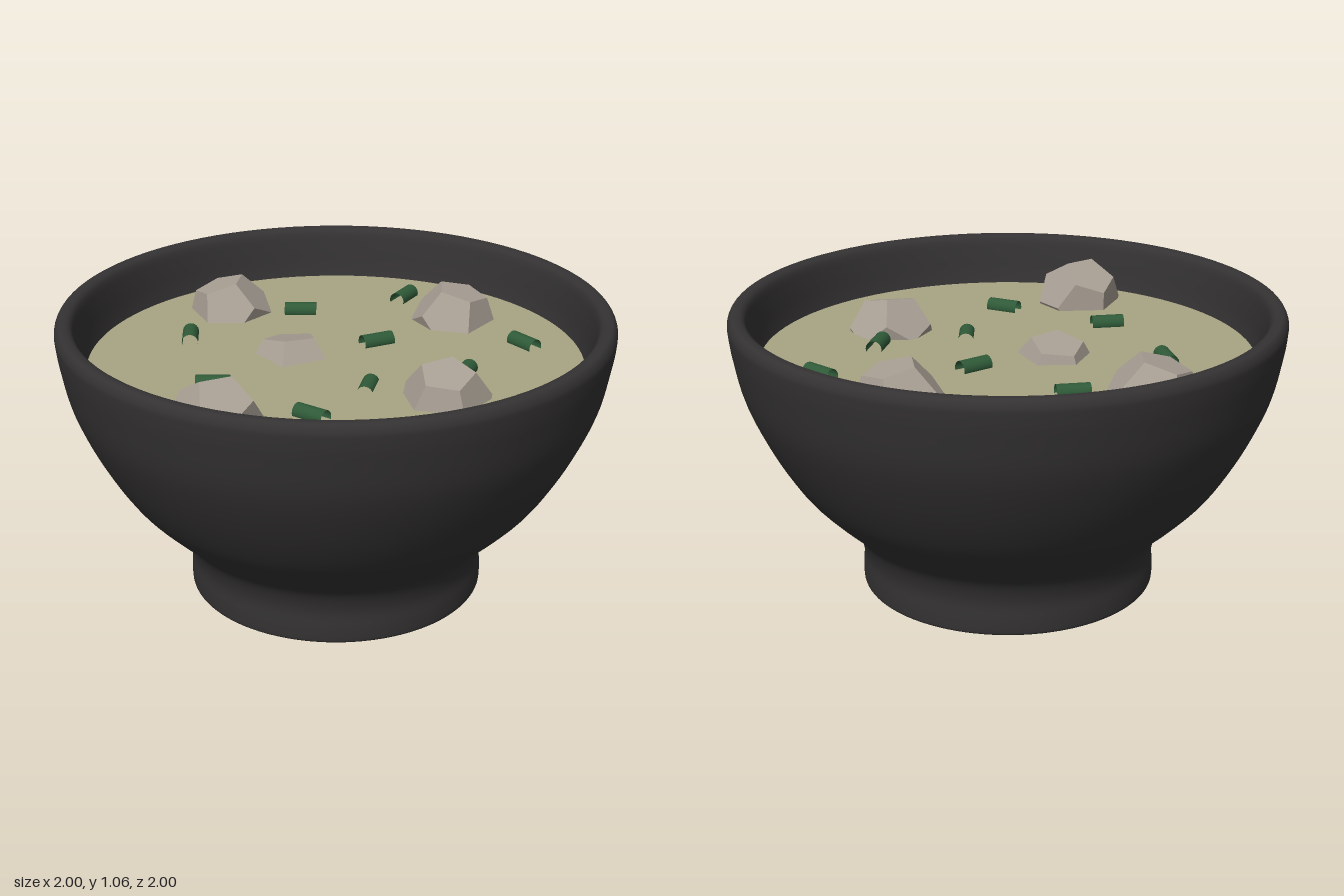
import * as THREE from 'three';

const SOUP_Y = 0.87;
const PHI = (1 + Math.sqrt(5)) / 2;

function mat(color, extra = {}) {
  return new THREE.MeshStandardMaterial({ color, ...extra });
}

// Lathed bowl: recessed underside, foot ring, outer wall, rounded rim, inner wall
function makeBowl() {
  const v = (pts) => pts.map(([x, y]) => new THREE.Vector2(x, y));
  const smooth = (pts, n) => new THREE.SplineCurve(v(pts)).getPoints(n);
  const profile = [
    ...smooth([[0, 0.13], [0.2, 0.13], [0.38, 0.125], [0.45, 0.09], [0.485, 0.03], [0.5, 0.006], [0.515, 0]], 28),
    ...smooth([[0.53, 0], [0.54, 0.006], [0.543, 0.02], [0.543, 0.06], [0.541, 0.13], [0.562, 0.2], [0.605, 0.255],
      [0.69, 0.335], [0.78, 0.435], [0.875, 0.59], [0.953, 0.765], [0.988, 0.92], [0.999, 1.0],
      [0.998, 1.03], [0.985, 1.052], [0.965, 1.056], [0.945, 1.05], [0.932, 1.03], [0.92, 0.98],
      [0.895, SOUP_Y], [0.83, 0.7], [0.72, 0.52], [0.55, 0.36], [0.3, 0.27], [0, 0.25]], 120),
  ];
  const mesh = new THREE.Mesh(new THREE.LatheGeometry(profile, 96), mat(0x343232));
  mesh.name = 'bowl';
  return mesh;
}

// Flat soup surface
function makeSoup() {
  const mesh = new THREE.Mesh(new THREE.CircleGeometry(0.897, 96).rotateX(-Math.PI / 2), mat(0xa8a484));
  mesh.position.y = SOUP_Y;
  mesh.name = 'soup';
  return mesh;
}

// Chunk: dodecahedron with one face turned up, spun, then leaned towards (nx, nz)
function makeChunk([x, y, z, spin, nx, nz]) {
  const geo = new THREE.DodecahedronGeometry(0.163).rotateX(-Math.atan(1 / PHI));
  geo.rotateY(THREE.MathUtils.degToRad(spin));
  const mesh = new THREE.Mesh(geo, mat(0xa89f94, { flatShading: true }));
  const up = new THREE.Vector3(nx, Math.sqrt(1 - nx * nx - nz * nz), nz);
  mesh.quaternion.setFromUnitVectors(new THREE.Vector3(0, 1, 0), up);
  mesh.position.set(x, y, z);
  mesh.name = 'chunk';
  return mesh;
}

// Herb: short open tube lying half sunk, its length along (dx, dz)
function makeHerb([x, y, z, dx, dz]) {
  const geo = new THREE.CylinderGeometry(0.03, 0.03, 0.12, 16, 1, true).rotateZ(Math.PI / 2);
  const mesh = new THREE.Mesh(geo, mat(0x2f5a38, { side: THREE.DoubleSide }));
  mesh.rotation.y = Math.atan2(-dz, dx);
  mesh.position.set(x, y, z);
  mesh.name = 'herb';
  return mesh;
}

export function createModel() {
  const model = new THREE.Group();
  model.name = 'soupBowl';
  model.add(makeBowl(), makeSoup());

  // x, y, z, spin, lean x, lean z
  const chunks = new THREE.Group();
  chunks.name = 'chunks';
  [
    [-0.155, 0.85, -0.625, 92, -0.25, -0.17],
    [-0.122, 0.795, -0.115, 180, 0.05, -0.22],
    [0.577, 0.855, -0.172, 62, 0.2, 0.12],
    [-0.604, 0.88, 0.35, 0, 0, 1 / Math.hypot(1, PHI)],
    [0.187, 0.85, 0.485, 69, -0.12, 0.25],
  ].forEach((c) => chunks.add(makeChunk(c)));

  // x, y, z, direction x, direction z
  const herbs = new THREE.Group();
  herbs.name = 'herbs';
  [
    [-0.405, 0.88, -0.405, 9, -21],
    [0.08, 0.88, -0.485, 20, 10],
    [0.51, 0.88, -0.45, 19, -13],
    [0.2, 0.88, -0.07, 1, 0],
    [-0.495, 0.88, 0.042, 20, 10],
    [-0.005, 0.86, 0.27, 13, -17],
    [0.68, 0.88, 0.18, 5, 22],
    [0.343, 0.88, 0.335, 17, -15],
    [-0.298, 0.88, 0.435, 11, 20],
  ].forEach((h) => herbs.add(makeHerb(h)));

  model.add(chunks, herbs);
  return model;
}
